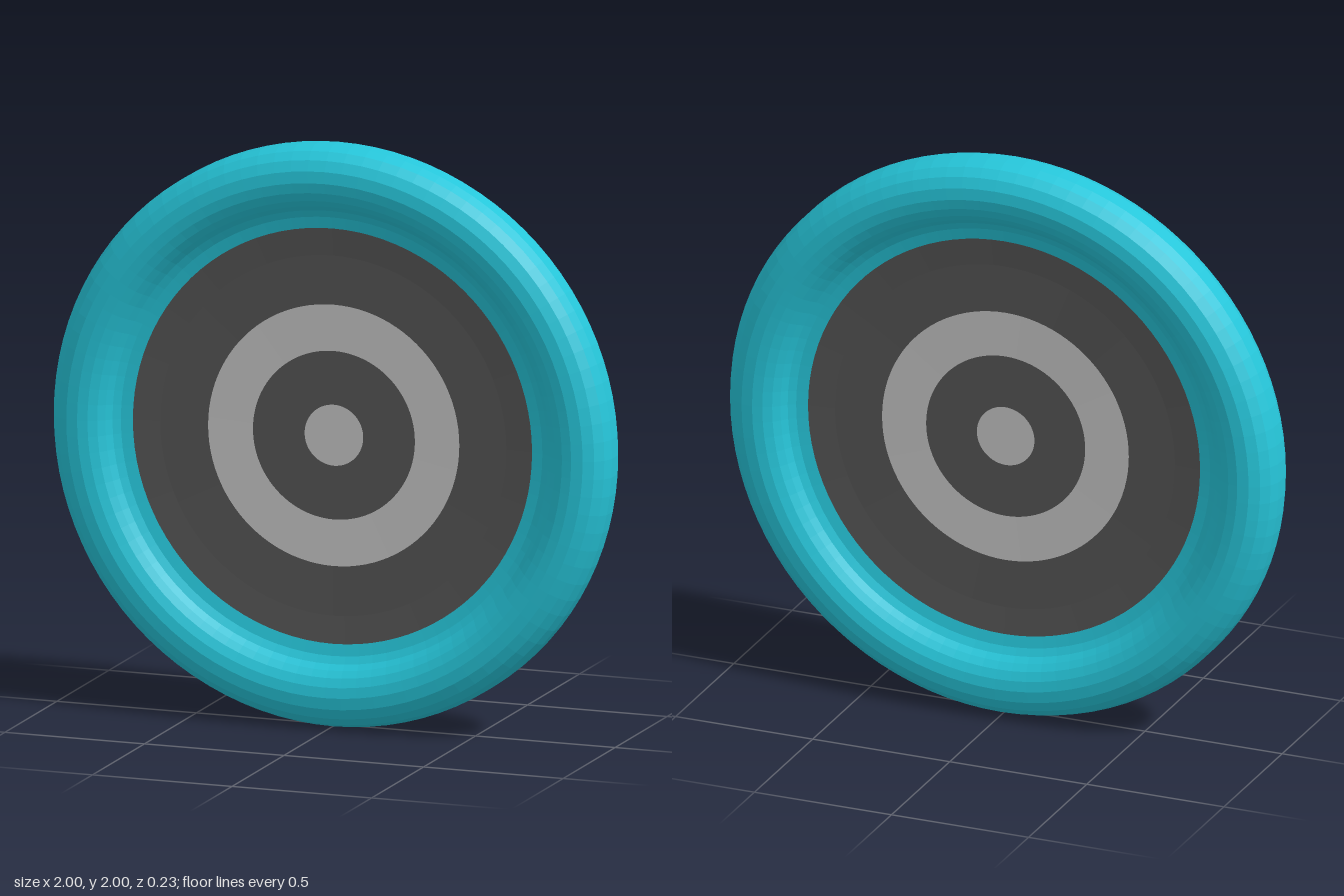
import * as THREE from 'three';

const SEGMENTS = 96;

function makeMaterial(name, color) {
  const material = new THREE.MeshStandardMaterial({ color, flatShading: true });
  material.name = name;
  return material;
}

// Revolve [radius, depth] points around the z axis
function revolve(name, profile, material) {
  const points = profile.map(([r, z]) => new THREE.Vector2(r, z));
  const geometry = new THREE.LatheGeometry(points, SEGMENTS).rotateX(Math.PI / 2);
  const mesh = new THREE.Mesh(geometry, material);
  mesh.name = name;
  return mesh;
}

export function createModel() {
  const cyan = makeMaterial('cyan', 0x26c6da);
  const darkGray = makeMaterial('darkGray', 0x545454);
  const lightGray = makeMaterial('lightGray', 0xc4c4c4);

  const disc = new THREE.Group();
  disc.name = 'flyingDisc';

  // Rounded rim: front half from the outer edge to the inner fillet, mirrored for the back
  const front = [
    [1, 0.03], [0.986, 0.066], [0.96, 0.094], [0.925, 0.111], [0.885, 0.115],
    [0.85, 0.109], [0.82, 0.095], [0.798, 0.076], [0.78, 0.056], [0.755, 0.042], [0.715, 0.034],
  ];
  const back = front.map(([r, z]) => [r, -z]).reverse();
  disc.add(revolve('rim', [...back, ...front], cyan));

  // Concentric bands of the shallow centre plate, on both faces
  const bands = [
    ['outerBand', [[0.715, 0.034], [0.62, 0.026], [0.45, 0.022]], darkGray],
    ['lightRing', [[0.45, 0.022], [0.29, 0.02]], lightGray],
    ['innerBand', [[0.29, 0.02], [0.105, 0.02]], darkGray],
    ['centreSpot', [[0.105, 0.02], [0, 0.02]], lightGray],
  ];
  for (const [name, profile, material] of bands) {
    disc.add(revolve(name + 'Front', profile, material));
    const mirrored = profile.map(([r, z]) => [r, -z]).reverse();
    disc.add(revolve(name + 'Back', mirrored, material));
  }

  // Stand the disc on its edge
  disc.position.y = 1;
  const model = new THREE.Group();
  model.add(disc);
  return model;
}
